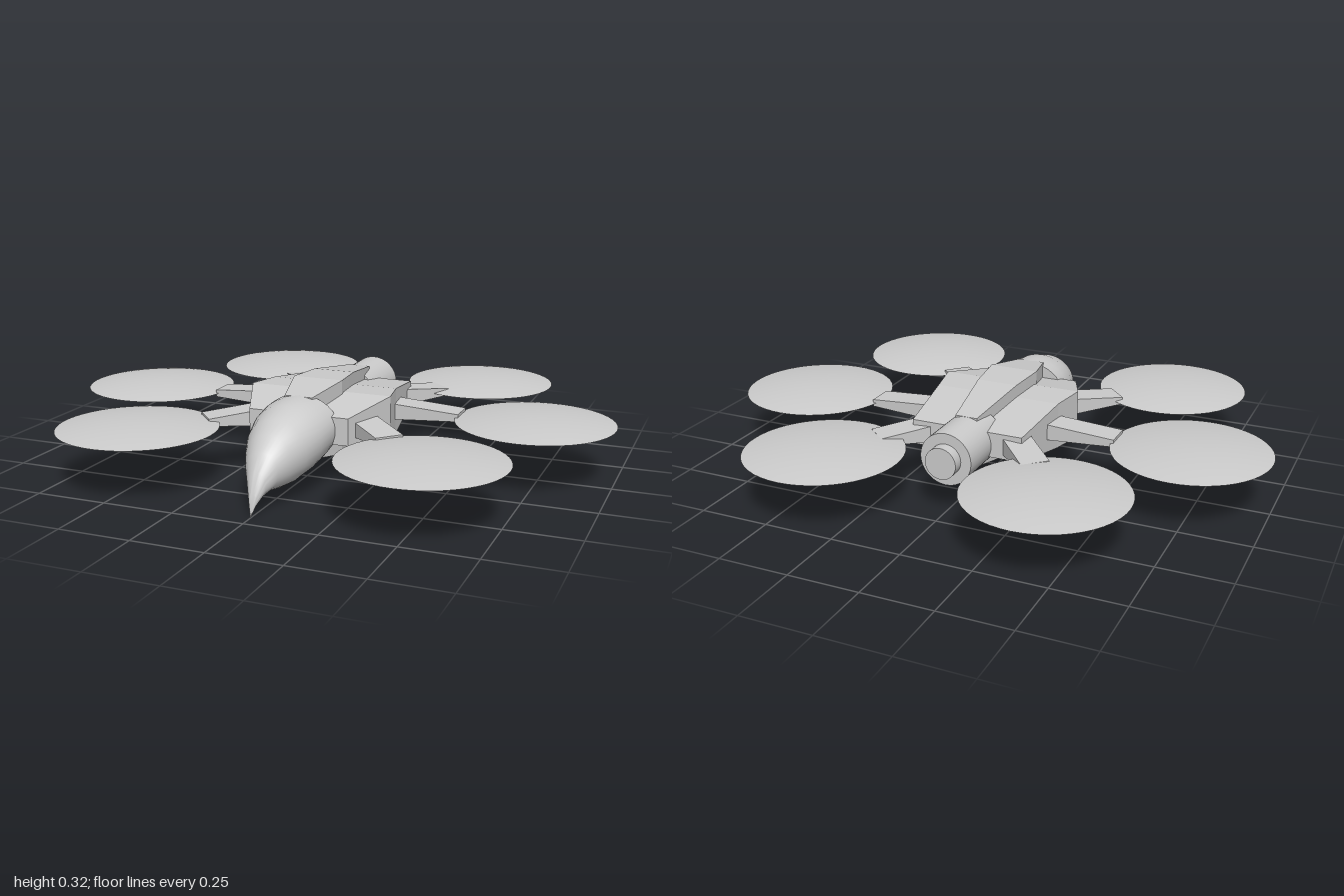
import * as THREE from 'three';
import { toCreasedNormals } from 'three/addons/utils/BufferGeometryUtils.js';

const MID = 0.195; // height of the rotor plane
const material = new THREE.MeshStandardMaterial({ color: 0xcccccc });

// Skin over rings of [x, y, z] points (anticlockwise seen from +z, ordered towards +z), capped at both ends
function loft(rings, crease) {
  const n = rings[0].length, last = (rings.length - 1) * n, index = [];
  for (let r = 0; r < rings.length - 1; r++) {
    for (let i = 0; i < n; i++) {
      const a = r * n + i, b = r * n + (i + 1) % n;
      index.push(a, b, b + n, a, b + n, a + n);
    }
  }
  for (let i = 1; i < n - 1; i++) {
    index.push(0, i + 1, i, last, last + i, last + i + 1);
  }
  const geometry = new THREE.BufferGeometry();
  geometry.setAttribute('position', new THREE.Float32BufferAttribute(rings.flat(2), 3));
  geometry.setIndex(index);
  return toCreasedNormals(geometry, crease);
}

// Rectangular ring: half width, bottom, top, z
const rect = ([w, bottom, top, z]) => [[w, bottom, z], [w, top, z], [-w, top, z], [-w, bottom, z]];

export function createModel() {
  const model = new THREE.Group();
  const add = (name, geometry, parent = model) => {
    const mesh = new THREE.Mesh(geometry, material);
    mesh.name = name;
    parent.add(mesh);
    return mesh;
  };

  // Faceted hull, wide in the middle
  add('hull', loft([
    [0.205, 0.15, 0.24, -0.26],
    [0.235, 0.107, 0.275, 0],
    [0.26, 0.103, 0.28, 0.13],
    [0.18, 0.148, 0.242, 0.325],
  ].map(rect), 0.05));

  // Narrow spine standing proud above and below the hull
  add('spine', loft([
    [0.04, 0.105, 0.283, -0.26],
    [0.075, 0.062, 0.32, 0],
    [0.09, 0.06, 0.325, 0.15],
    [0.05, 0.085, 0.3, 0.32],
  ].map(rect), 0.05));

  // Hooked nose: z, half width, bottom, top
  const noseCurve = [
    [0.295, 0.135, 0.09, 0.302],
    [0.35, 0.135, 0.075, 0.301],
    [0.42, 0.127, 0.06, 0.293],
    [0.5, 0.107, 0.05, 0.267],
    [0.56, 0.082, 0.053, 0.232],
    [0.61, 0.057, 0.06, 0.188],
    [0.65, 0.033, 0.05, 0.135],
    [0.68, 0.014, 0.027, 0.072],
    [0.697, 0.001, 0, 0.008],
  ];
  const noseRings = noseCurve.map(([z, w, bottom, top]) => {
    const waist = bottom + (top - bottom) * 0.52;
    return Array.from({ length: 32 }, (_, i) => {
      const a = i / 32 * Math.PI * 2, s = Math.sin(a), c = Math.cos(a);
      const x = w * Math.sign(c) * Math.pow(Math.abs(c), s < 0 ? 0.85 : 1);
      return [x, waist + s * (s > 0 ? top - waist : waist - bottom), z];
    });
  });
  add('nose', loft(noseRings, 0.7));

  // Rear barrel with a stepped cap
  for (const [name, radius, back, front] of [
    ['rearBarrel', 0.093, -0.42, -0.17],
    ['rearCap', 0.056, -0.46, -0.4],
  ]) {
    const geometry = new THREE.CylinderGeometry(radius, radius, front - back, 32).rotateX(Math.PI / 2);
    add(name, geometry).position.set(0, 0.19, (back + front) / 2);
  }

  // Thin lens-shaped rotor disc
  const radius = 0.275, thickness = 0.027, profile = [];
  for (let i = -8; i <= 8; i++) {
    const r = 1 - Math.abs(i) / 8;
    profile.push(new THREE.Vector2(r * radius, Math.sign(i) * thickness * (1 - r * r)));
  }
  const disc = toCreasedNormals(new THREE.LatheGeometry(profile, 48), 0.3);

  // Three rotors a side: disc centre, then arm root and arm tip, all as [x, z]
  const rotors = [
    ['front', [0.5, 0.525], [0.17, 0.2], [0.335, 0.355]],
    ['middle', [0.727, -0.03], [0.17, -0.03], [0.468, -0.03]],
    ['rear', [0.4, -0.53], [0.15, -0.2], [0.295, -0.36]],
  ];
  for (const side of [1, -1]) {
    for (const [place, centre, root, tip] of rotors) {
      const prefix = place + (side > 0 ? 'Left' : 'Right');
      add(prefix + 'Rotor', disc).position.set(side * centre[0], MID, centre[1]);

      const dx = side * (tip[0] - root[0]), dz = tip[1] - root[1];
      const arm = add(prefix + 'Arm', loft([
        [0.05, -0.032, 0.032, 0],
        [0.05, -0.013, 0.013, Math.hypot(dx, dz)],
      ].map(rect), 0.05));
      arm.position.set(side * root[0], MID, root[1]);
      arm.rotation.y = Math.atan2(dx, dz);
    }
  }
  return model;
}
